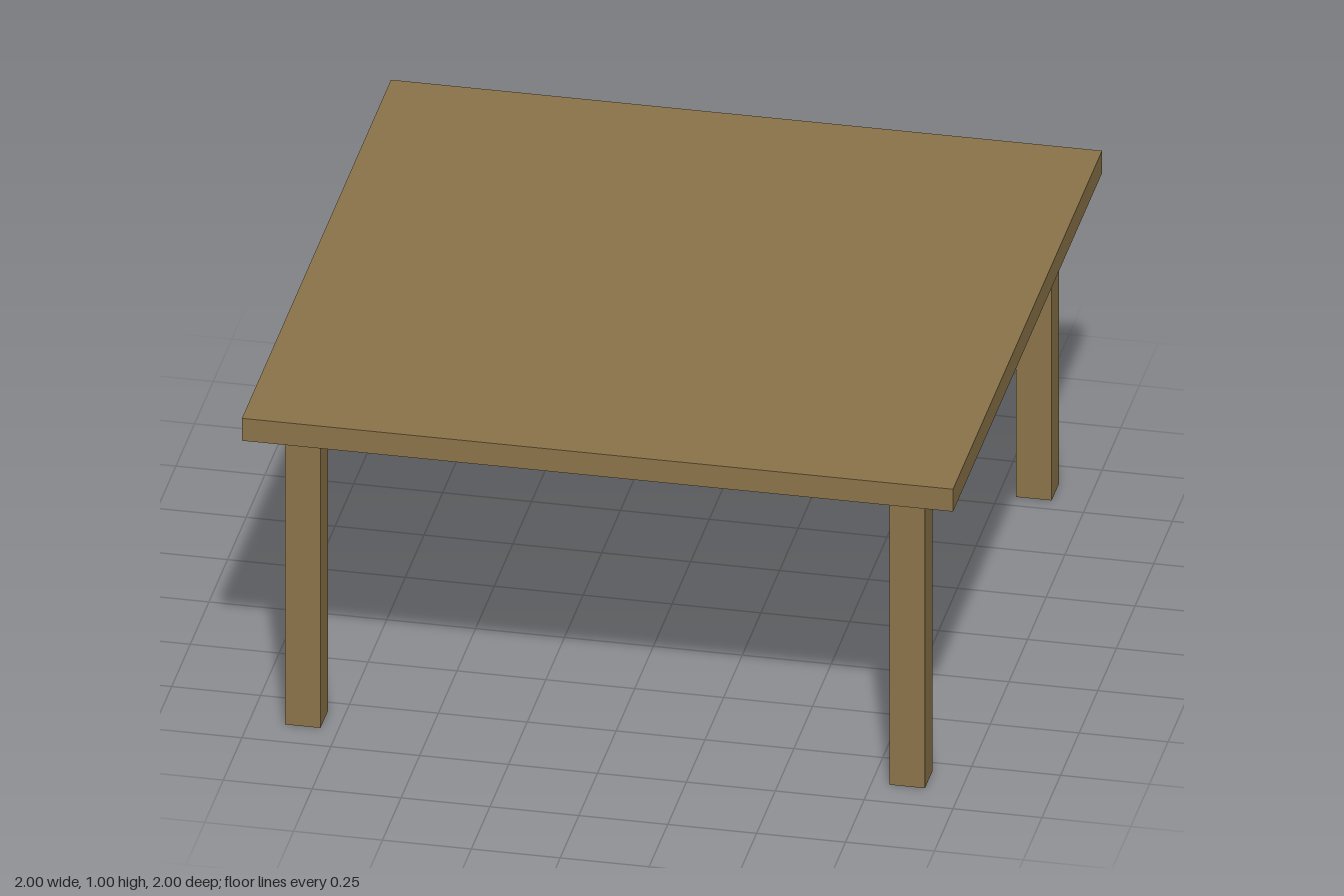
import * as THREE from 'three';

const HEIGHT = 1;
const TOP_THICKNESS = 0.07;
const LEG_WIDTH = 0.1;
const LEG_OFFSET = 0.85;

export function createModel() {
  const table = new THREE.Group();
  table.name = 'table';
  const wood = new THREE.MeshStandardMaterial({ color: 0x8b7349 });

  // Square slab
  const top = new THREE.Mesh(new THREE.BoxGeometry(2, TOP_THICKNESS, 2), wood);
  top.name = 'tableTop';
  top.position.y = HEIGHT - TOP_THICKNESS / 2;
  table.add(top);

  // Four square legs, set in from the corners
  const legHeight = HEIGHT - TOP_THICKNESS;
  const legGeometry = new THREE.BoxGeometry(LEG_WIDTH, legHeight, LEG_WIDTH);
  for (const [zSide, end] of [[1, 'front'], [-1, 'back']]) {
    for (const [xSide, side] of [[1, 'Left'], [-1, 'Right']]) {
      const leg = new THREE.Mesh(legGeometry, wood);
      leg.name = `${end}${side}Leg`;
      leg.position.set(xSide * LEG_OFFSET, legHeight / 2, zSide * LEG_OFFSET);
      table.add(leg);
    }
  }
  return table;
}
